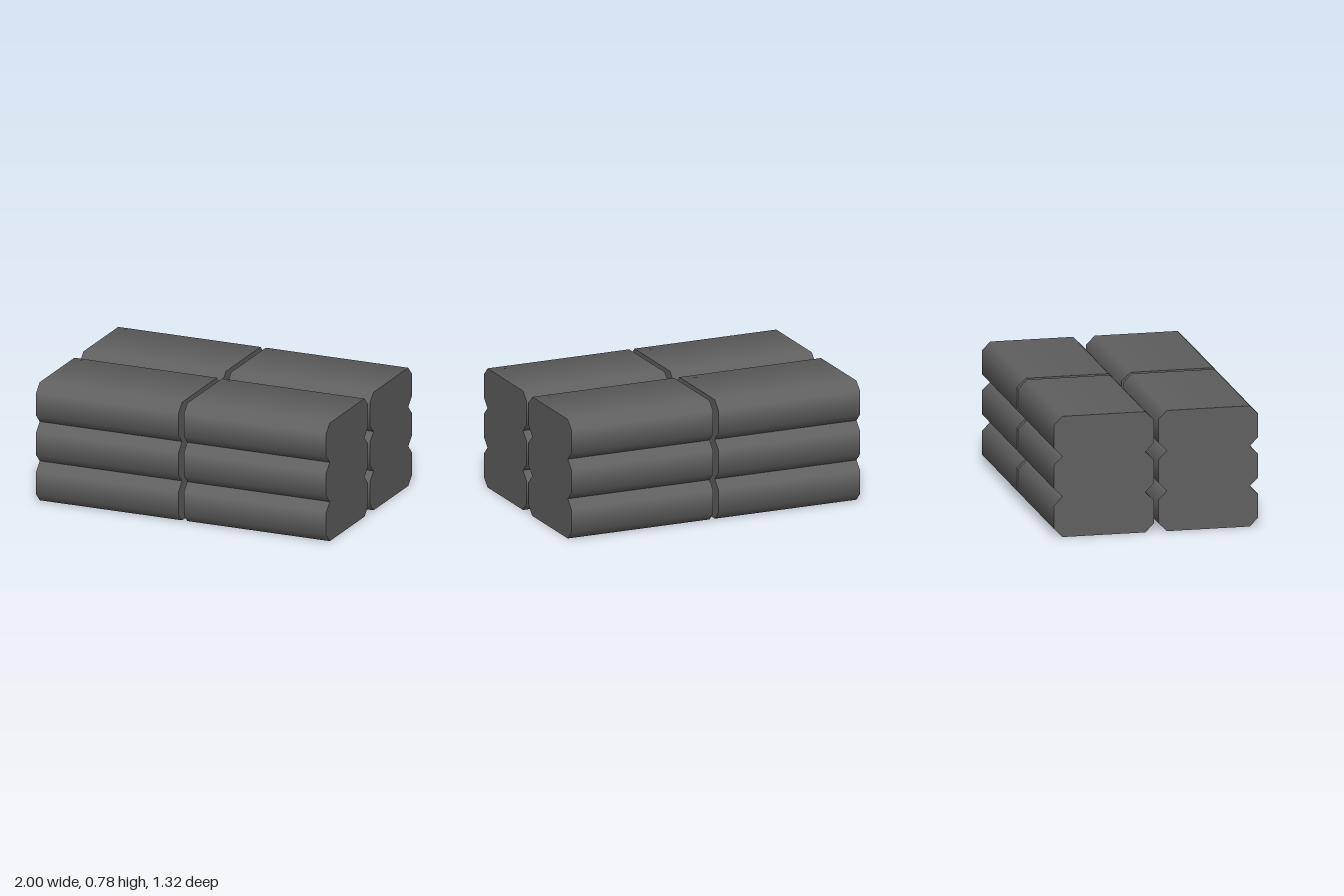
import * as THREE from 'three';

const LENGTH = 0.982, HEIGHT = 0.261, DEPTH = 0.645, CHAMFER = 0.055;
const GAP_X = 0.018, GAP_Z = 0.015, LAYERS = 3;

// Eight-sided bar along x, stretched to a chamfered rectangle; it keeps the
// cylinder's rounded side normals and flat end normals.
function barGeometry() {
  const geo = new THREE.CylinderGeometry(1, 1, LENGTH, 8, 1, false, Math.PI / 8);
  geo.rotateZ(Math.PI / 2);
  const pos = geo.attributes.position;
  const h = HEIGHT / 2, d = DEPTH / 2;
  for (let i = 0; i < pos.count; i++) {
    const y = pos.getY(i), z = pos.getZ(i);
    if (Math.hypot(y, z) < 0.5) continue; // centre of an end cap
    const onTopOrBottom = Math.abs(y) > Math.abs(z);
    pos.setY(i, Math.sign(y) * (onTopOrBottom ? h : h - CHAMFER));
    pos.setZ(i, Math.sign(z) * (onTopOrBottom ? d - CHAMFER : d));
  }
  return geo;
}

export function createModel() {
  const model = new THREE.Group();
  model.name = 'barStack';
  const geo = barGeometry();
  const material = new THREE.MeshStandardMaterial({ color: 0x606060 });

  // Three layers of four bars, two by two
  for (let layer = 0; layer < LAYERS; layer++) {
    for (const sx of [-1, 1]) {
      for (const sz of [-1, 1]) {
        const bar = new THREE.Mesh(geo, material);
        bar.name = `${sz > 0 ? 'front' : 'back'}${sx > 0 ? 'Left' : 'Right'}Bar${layer + 1}`;
        bar.position.set(
          sx * (GAP_X + LENGTH / 2),
          HEIGHT * (layer + 0.5),
          sz * (GAP_Z + DEPTH / 2)
        );
        model.add(bar);
      }
    }
  }
  return model;
}
